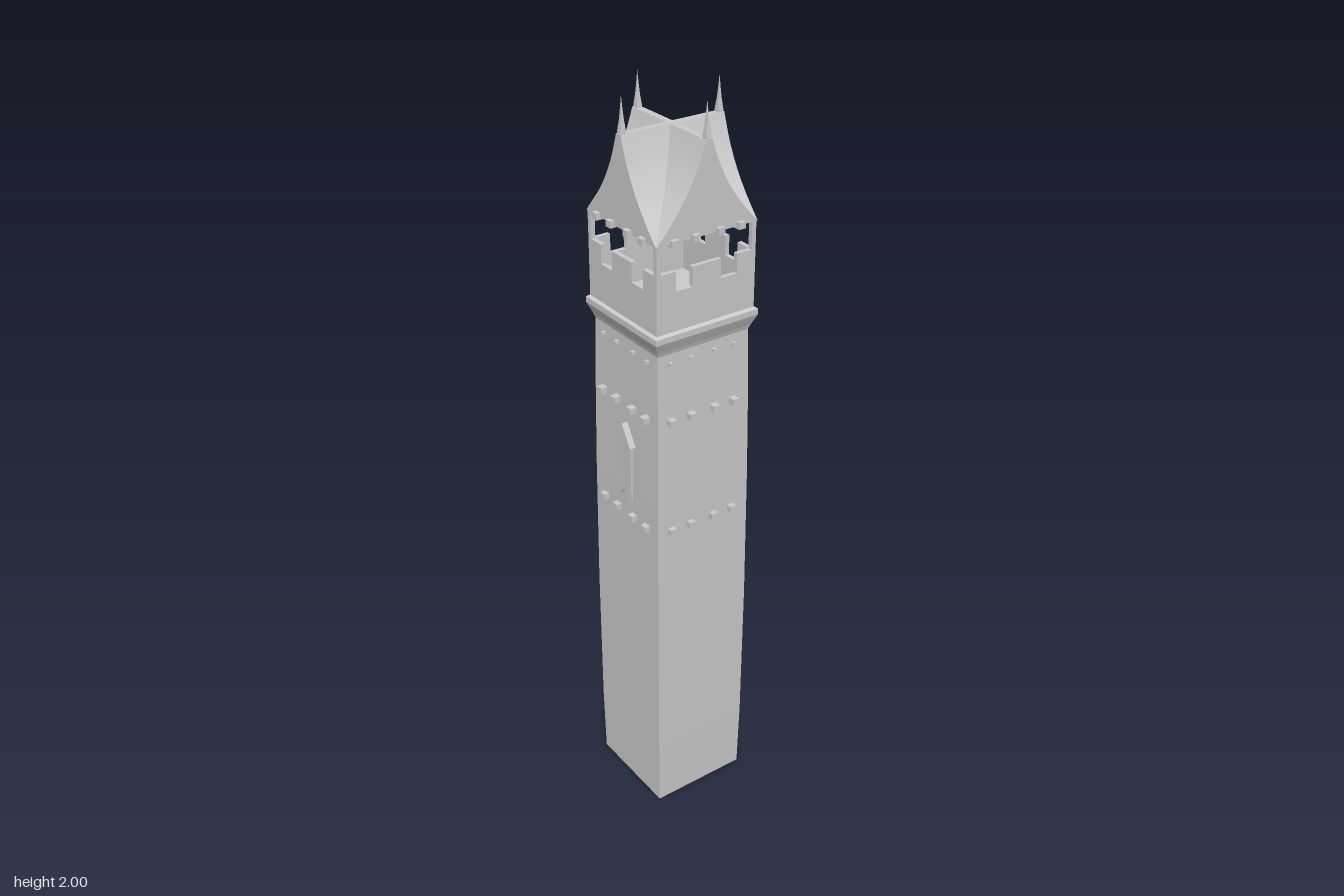
import * as THREE from 'three';
import { toCreasedNormals } from 'three/addons/utils/BufferGeometryUtils.js';

const flat = new THREE.MeshStandardMaterial({ color: 0xcccccc, flatShading: true, side: THREE.DoubleSide });
const smooth = new THREE.MeshStandardMaterial({ color: 0xcccccc, side: THREE.DoubleSide });

function add(parent, name, geometry, material = flat) {
  const mesh = new THREE.Mesh(geometry, material);
  mesh.name = name;
  parent.add(mesh);
  return mesh;
}

// Square tower section from [half width, height] pairs
function squareLoft(profile) {
  const pts = profile.map(([h, y]) => new THREE.Vector2(h * Math.SQRT2, y));
  return new THREE.LatheGeometry(pts, 4, Math.PI / 4);
}

function polygon(points) {
  return new THREE.Shape(points.map(([x, y]) => new THREE.Vector2(x, y)));
}

function extrude(points, depth) {
  return new THREE.ExtrudeGeometry(polygon(points), { depth, bevelEnabled: false });
}

// Repeats a builder on the four sides; +z is outward in each side group
function fourSides(parent, name, build) {
  for (let i = 0; i < 4; i++) {
    const side = new THREE.Group();
    side.name = name + (i + 1);
    side.rotation.y = i * Math.PI / 2;
    build(side);
    parent.add(side);
  }
}

const EAVE = 1.69, RIDGE = 1.913, ROOF = 0.144, RIDGE_HALF = 0.009;

// Concave roof profile, steepening toward the ridge
function roofProfile(n = 10) {
  const curve = new THREE.SplineCurve([
    [ROOF, EAVE], [0.102, 1.737], [0.063, 1.79], [0.03, 1.853], [RIDGE_HALF, RIDGE],
  ].map(([x, y]) => new THREE.Vector2(x, y)));
  return curve.getPoints(n);
}

// Curved slopes of one gable arm, cut at the diagonal valleys, plus the flat ridge
function roofArm() {
  const pos = [];
  const quad = (a, b, c, d) => pos.push(...a, ...b, ...c, ...a, ...c, ...d);
  const p = roofProfile();
  for (let i = 0; i < p.length - 1; i++) {
    const { x: w0, y: y0 } = p[i], { x: w1, y: y1 } = p[i + 1];
    quad([w0, y0, ROOF], [w0, y0, w0], [w1, y1, w1], [w1, y1, ROOF]);
    quad([-w0, y0, w0], [-w0, y0, ROOF], [-w1, y1, ROOF], [-w1, y1, w1]);
  }
  const r = RIDGE_HALF;
  quad([-r, RIDGE, ROOF], [r, RIDGE, ROOF], [r, RIDGE, 0], [-r, RIDGE, 0]);
  const g = new THREE.BufferGeometry();
  g.setAttribute('position', new THREE.Float32BufferAttribute(pos, 3));
  return toCreasedNormals(g, 0.5);
}

export function createModel() {
  const model = new THREE.Group();
  model.name = 'tower';
  const body = new THREE.Group();
  body.name = 'body';
  body.position.set(-0.004, 0, -0.005);
  model.add(body);

  // Slightly swelling shaft, open at the foot
  add(body, 'shaft', squareLoft([
    [0.138, 0], [0.141, 0.2], [0.142, 0.62], [0.14, 1.0], [0.137, 1.25], [0.134, 1.41],
  ]));
  add(body, 'cornice', squareLoft([
    [0.134, 1.41], [0.138, 1.422], [0.148, 1.445], [0.15, 1.45], [0.15, 1.465], [0.142, 1.47],
  ]));
  add(body, 'lookoutFloor', new THREE.BoxGeometry(0.27, 0.01, 0.27)).position.y = 1.47;

  // Battlemented parapet with slim corner posts
  const half = [[0.142, 1.465], [0.142, EAVE], [0.13, EAVE], [0.13, 1.62],
    [0.088, 1.62], [0.088, 1.57], [0.041, 1.57], [0.041, 1.62]];
  const mirrored = half.map(([x, y]) => [-x, y]).reverse();
  fourSides(body, 'parapetSide', (side) => {
    add(side, 'parapet', extrude([...half, ...mirrored], 0.012)).position.z = 0.13;
  });

  // Crossed gable roof with a spire on every gable
  const gable = roofProfile().map((p) => [p.x, p.y]);
  const gableOutline = [...gable, ...gable.map(([x, y]) => [-x, y]).reverse()];
  const spire = squareLoft([[0.0085, 1.9], [0.007, 1.92], [0.004, 1.945], [0.002, 1.97], [0, 2]]);
  fourSides(body, 'roofSide', (side) => {
    add(side, 'roofSlopes', roofArm(), smooth);
    add(side, 'gableWall', new THREE.ShapeGeometry(polygon(gableOutline))).position.z = ROOF;
    add(side, 'spire', spire).position.z = 0.135;
  });

  // Beam ends in rows on the walls
  const spots = [-0.096, -0.037, 0.033, 0.092];
  const peg = new THREE.BoxGeometry(0.019, 0.017, 0.02);
  const stud = new THREE.BoxGeometry(0.008, 0.008, 0.012);
  fourSides(model, 'beamEnds', (side) => {
    for (const x of spots) {
      for (const y of [0.914, 1.23]) add(side, 'beamEnd', peg).position.set(x, y, 0.141);
      add(side, 'smallStud', stud).position.set(x, 1.385, 0.134);
    }
  });

  // Crossing beams under the eaves
  const beam = new THREE.BoxGeometry(0.019, 0.017, 0.302);
  for (const s of spots) {
    add(model, 'eaveBeam', beam).position.set(s, 1.693, 0);
    const cross = add(model, 'eaveCrossBeam', beam);
    cross.rotation.y = Math.PI / 2;
    cross.position.set(0, 1.693, s);
  }

  // Swallow-tailed banner under a small pointed hood on the front
  add(model, 'banner', extrude([
    [-0.024, 0.96], [0, 0.985], [0.026, 0.96], [0.026, 1.125], [-0.024, 1.125],
  ], 0.01)).position.z = 0.131;
  add(model, 'bannerHood', extrude([
    [-0.034, 1.122], [0.038, 1.122], [0.002, 1.18],
  ], 0.02)).position.z = 0.13;

  return model;
}
